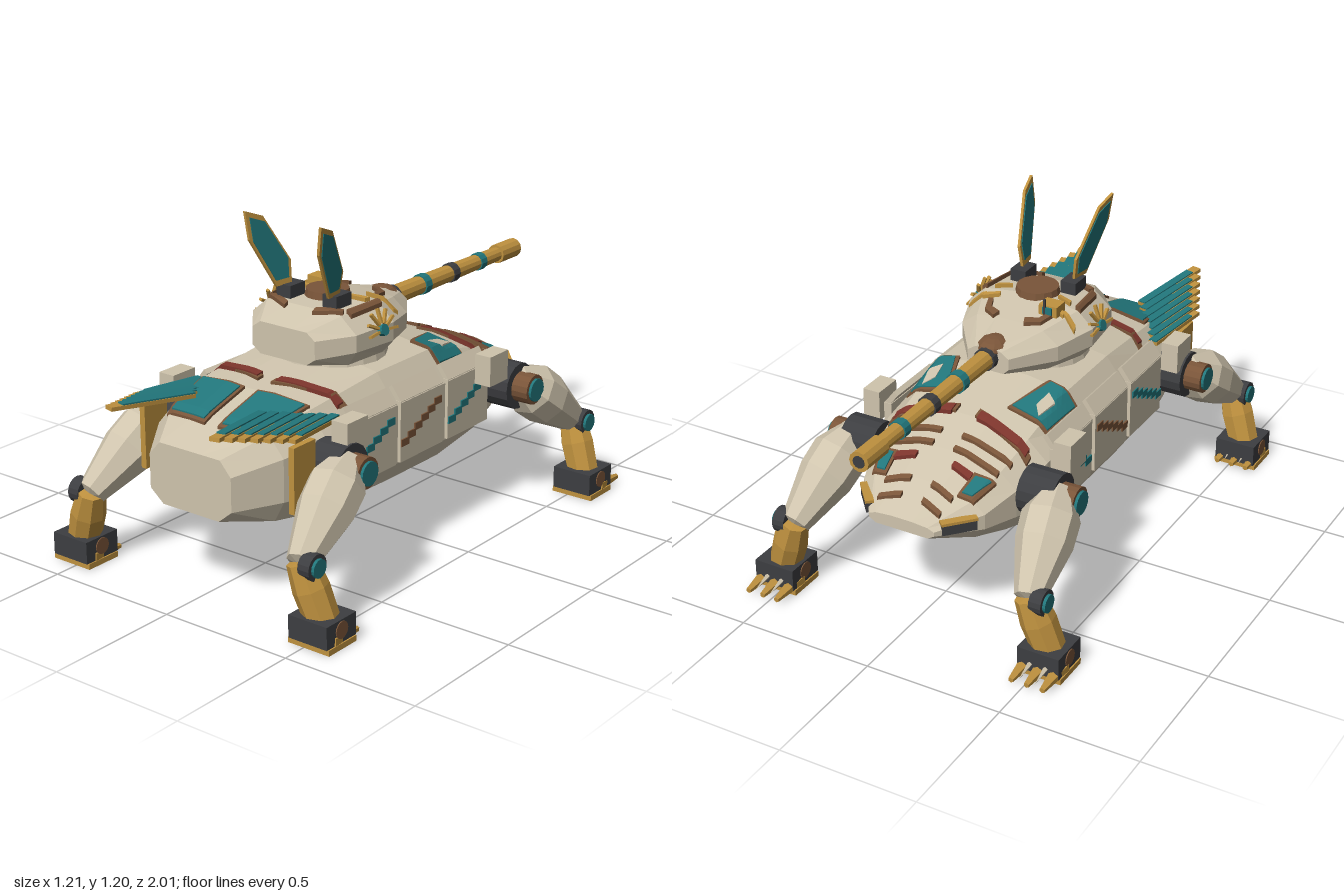
import * as THREE from 'three';

const paint = (name, color) => {
  const m = new THREE.MeshStandardMaterial({ color, side: THREE.DoubleSide, flatShading: true });
  m.name = name;
  return m;
};

export function createModel() {
  const root = new THREE.Group();
  root.name = 'walkerTank';
  const cream = paint('cream', 0xcfc4ad), gold = paint('gold', 0xc0923f), teal = paint('teal', 0x22777c);
  const brown = paint('brown', 0x7a5539), red = paint('red', 0x7d352c), charcoal = paint('charcoal', 0x3d3e41);

  const add = (name, geo, mat, pos = [0, 0, 0], rot = [0, 0, 0], parent = root) => {
    const m = new THREE.Mesh(geo, mat);
    m.name = name;
    m.position.set(...pos);
    m.rotation.set(...rot);
    parent.add(m);
    return m;
  };
  const box = (name, size, mat, pos, rot, parent) => add(name, new THREE.BoxGeometry(...size), mat, pos, rot, parent);
  // cylinder lying along x (axle) or z (barrel)
  const axle = (name, r, len, mat, pos) =>
    add(name, new THREE.CylinderGeometry(r, r, len, 16), mat, pos, [0, 0, Math.PI / 2]);
  const tubeZ = (name, r0, r1, z0, z1, mat, y) =>
    add(name, new THREE.CylinderGeometry(r0, r1, z0 - z1, 12), mat, [0, y, (z0 + z1) / 2], [Math.PI / 2, 0, 0]);
  // lathe profile [radius, t] stretched from point a to point b
  const limb = (name, a, b, profile, mat) => {
    const A = new THREE.Vector3(...a), d = new THREE.Vector3(...b).sub(A), L = d.length();
    const m = add(name, new THREE.LatheGeometry(profile.map(([r, t]) => new THREE.Vector2(r, t * L)), 8), mat, a);
    m.quaternion.setFromUnitVectors(new THREE.Vector3(0, 1, 0), d.normalize());
  };

  // section: [z, bottom half width, bottom y, half width, low y, high y, top half width, shoulder y, crown y]
  const ring = ([z, wb, y0, w, y1, y2, wt, yt, yc]) => {
    const half = [[wb, y0], [w, y1], [w, y2], [wt, yt], [wt * 0.4, yc]];
    return [...half, ...half.slice().reverse().map(([x, y]) => [-x, y])].map(([x, y]) => [x, y, z]);
  };
  const loft = (name, sections, mat) => {
    const rings = sections.map(ring), n = rings[0].length, idx = [];
    for (let s = 0; s < rings.length - 1; s++)
      for (let i = 0; i < n; i++) {
        const a = s * n + i, b = s * n + (i + 1) % n;
        idx.push(a, a + n, b, b, a + n, b + n);
      }
    const last = (rings.length - 1) * n;
    for (let i = 1; i < n - 1; i++) idx.push(0, i, i + 1, last, last + i + 1, last + i);
    const g = new THREE.BufferGeometry();
    g.setAttribute('position', new THREE.Float32BufferAttribute(rings.flat(2), 3));
    g.setIndex(idx);
    g.computeVertexNormals();
    add(name, g, mat);
  };
  // height of a lofted body above (x, z)
  const topY = (sections, x, z) => {
    let i = 0;
    while (i < sections.length - 2 && z < sections[i + 1][0]) i++;
    const a = sections[i], b = sections[i + 1], t = THREE.MathUtils.clamp((a[0] - z) / (a[0] - b[0]), 0, 1);
    const [, , , w, , y2, wt, yt, yc] = a.map((v, k) => v + (b[k] - v) * t);
    const ax = Math.min(Math.abs(x), w), wc = wt * 0.4;
    if (ax < wc) return yc;
    return ax < wt ? yc + (yt - yc) * (ax - wc) / (wt - wc) : yt + (y2 - yt) * (ax - wt) / (w - wt);
  };
  // thin plate following a body; corners are [x, z] in order around the plate
  const plate = (name, sections, c, mat, off) => {
    const n = 6, pos = [], idx = [], N = n + 3, mix = THREE.MathUtils.lerp;
    const flip = (c[1][0] - c[0][0]) * (c[3][1] - c[0][1]) - (c[1][1] - c[0][1]) * (c[3][0] - c[0][0]) < 0;
    for (let j = -1; j <= n + 1; j++)
      for (let i = -1; i <= n + 1; i++) {
        const u = THREE.MathUtils.clamp(i / n, 0, 1), v = THREE.MathUtils.clamp(j / n, 0, 1);
        const rim = i < 0 || j < 0 || i > n || j > n;
        const [x, z] = [0, 1].map(k => mix(mix(c[0][k], c[1][k], u), mix(c[3][k], c[2][k], u), v));
        pos.push(x, topY(sections, x, z) + (rim ? 0 : off), z);
      }
    for (let j = 0; j < N - 1; j++)
      for (let i = 0; i < N - 1; i++) {
        const a = j * N + i, [p, q] = flip ? [a + 1, a + N] : [a + N, a + 1];
        idx.push(a, p, q, q, p, a + N + 1);
      }
    const g = new THREE.BufferGeometry();
    g.setAttribute('position', new THREE.Float32BufferAttribute(pos, 3));
    g.setIndex(idx);
    g.computeVertexNormals();
    add(name, g, mat);
  };
  const framed = (name, sections, c, mat) => {
    const cx = c.reduce((s, p) => s + p[0], 0) / 4, cz = c.reduce((s, p) => s + p[1], 0) / 4;
    const outer = c.map(([x, z]) => [x + 0.012 * Math.sign(x - cx), z + 0.012 * Math.sign(z - cz)]);
    plate(name + 'Frame', sections, outer, brown, 0.01);
    plate(name, sections, c, mat, 0.015);
  };

  // hull and turret bodies
  const hull = [
    [0.87, 0.12, 0.315, 0.175, 0.36, 0.48, 0.13, 0.53, 0.53],
    [0.72, 0.23, 0.295, 0.27, 0.37, 0.52, 0.21, 0.59, 0.60],
    [0.55, 0.28, 0.285, 0.315, 0.36, 0.54, 0.24, 0.63, 0.65],
    [0.20, 0.29, 0.28, 0.33, 0.35, 0.56, 0.25, 0.665, 0.69],
    [-0.10, 0.29, 0.28, 0.33, 0.35, 0.56, 0.25, 0.665, 0.69],
    [-0.35, 0.27, 0.30, 0.315, 0.37, 0.53, 0.24, 0.60, 0.63],
    [-0.50, 0.24, 0.33, 0.28, 0.39, 0.49, 0.22, 0.545, 0.575],
    [-0.63, 0.20, 0.36, 0.235, 0.40, 0.455, 0.19, 0.495, 0.52],
    [-0.77, 0.10, 0.40, 0.125, 0.415, 0.43, 0.10, 0.44, 0.445]];
  const turret = [
    [0.39, 0.10, 0.71, 0.135, 0.735, 0.80, 0.10, 0.825, 0.825],
    [0.28, 0.19, 0.70, 0.225, 0.75, 0.81, 0.16, 0.865, 0.87],
    [0.10, 0.20, 0.70, 0.245, 0.75, 0.815, 0.185, 0.87, 0.885],
    [-0.05, 0.15, 0.705, 0.19, 0.745, 0.80, 0.13, 0.845, 0.855],
    [-0.20, 0.06, 0.73, 0.08, 0.75, 0.79, 0.05, 0.81, 0.82]];
  loft('hull', hull, cream);
  loft('turret', turret, cream);
  add('turretRing', new THREE.CylinderGeometry(0.19, 0.2, 0.05, 20), cream, [0, 0.685, 0.13]);

  // gun
  tubeZ('gunBarrel', 0.036, 0.027, -0.15, -0.9, gold, 0.78);
  tubeZ('muzzle', 0.036, 0.036, -0.88, -1, gold, 0.78);
  tubeZ('muzzleBore', 0.022, 0.022, -0.99, -1.002, charcoal, 0.78);
  [[-0.21, 0.041, charcoal], [-0.4, 0.038, teal], [-0.58, 0.036, charcoal], [-0.76, 0.033, teal]]
    .forEach(([z, r, m]) => tubeZ('barrelBand', r, r, z + 0.017, z - 0.017, m, 0.78));
  add('mantlet', new THREE.SphereGeometry(1, 12, 8), brown, [0, 0.805, -0.15]).scale.set(0.06, 0.035, 0.07);

  // turret roof
  add('roofHatch', new THREE.CylinderGeometry(0.075, 0.08, 0.025, 16), brown, [0, 0.893, 0.15]);
  box('sight', [0.07, 0.04, 0.06], gold, [-0.11, 0.885, 0.05]);
  box('sightLens', [0.035, 0.025, 0.01], teal, [-0.11, 0.887, 0.018]);
  box('antenna', [0.008, 0.06, 0.008], charcoal, [-0.1, 0.9, 0.015]);

  const earOutline = [[0.397, 1.2], [0.32, 1.17], [0.215, 1.0], [0.22, 0.92], [0.29, 0.92], [0.39, 1.1]];
  const earGeo = (k, depth) => {
    const pts = earOutline.map(([z, y]) => new THREE.Vector2((z - 0.3) * k + 0.05, 1.05 + (y - 1.05) * k - 0.92));
    return new THREE.ExtrudeGeometry(new THREE.Shape(pts), { depth, bevelEnabled: false })
      .translate(0, 0, -depth / 2).rotateY(-Math.PI / 2);
  };

  for (const s of [1, -1]) {
    const X = pts => pts.map(([x, z]) => [s * x, z]);
    // ears
    const earPose = [[s * 0.107, 0.92, 0.25], [0, s * 0.13, -s * 0.13]];
    add('earFrame', earGeo(1, 0.01), gold, ...earPose);
    add('earPanel', earGeo(0.84, 0.016), teal, ...earPose);
    box('earMount', [0.06, 0.045, 0.08], charcoal, [s * 0.1, 0.9, 0.225]);

    // turret markings
    plate('turretBar', turret, X([[0.06, -0.06], [0.11, -0.03], [0.11, -0.005], [0.05, -0.035]]), brown, 0.014);
    plate('turretBar', turret, X([[0.11, -0.03], [0.13, 0.03], [0.11, 0.03], [0.095, -0.01]]), brown, 0.014);
    plate('turretBar', turret, X([[0.175, 0.1], [0.195, 0.1], [0.18, 0.25], [0.16, 0.25]]), brown, 0.016);
    plate('turretRearBar', turret, X([[0.06, 0.29], [0.15, 0.25], [0.16, 0.27], [0.06, 0.31]]), brown, 0.014);
    for (const [x, z] of [[0.13, 0.05], [0.12, 0.12], [0.18, 0.04]])
      plate('turretTick', turret, X([[x - 0.03, z + 0.01], [x + 0.03, z - 0.012], [x + 0.025, z + 0.008], [x - 0.025, z + 0.022]]), gold, 0.014);

    // sunburst on the turret side
    const sun = new THREE.Group();
    sun.name = 'sunburst';
    sun.position.set(s * 0.246, 0.803, 0.16);
    sun.rotation.z = s * 0.35;
    root.add(sun);
    add('sunDisc', new THREE.CylinderGeometry(0.02, 0.02, 0.02, 12), teal, [0, 0, 0], [0, 0, Math.PI / 2], sun);
    for (let i = 0; i < 7; i++) {
      const a = -0.1 + i * (Math.PI + 0.2) / 6;
      box('sunRay', [0.012, 0.009, 0.052], gold, [0, Math.sin(a) * 0.05, Math.cos(a) * 0.05], [-a, 0, 0], sun);
    }

    // hull deck panels
    framed('rearPanel', hull, X([[0.04, 0.57], [0.22, 0.55], [0.19, 0.74], [0.04, 0.75]]), teal);
    framed('rearStripe', hull, X([[0.04, 0.45], [0.27, 0.41], [0.27, 0.44], [0.04, 0.48]]), red);
    framed('frontStripe', hull, X([[0.05, -0.365], [0.26, -0.405], [0.26, -0.375], [0.05, -0.33]]), red);
    framed('frontPanel', hull, X([[0.13, -0.26], [0.27, -0.27], [0.29, -0.11], [0.19, -0.1]]), teal);
    plate('frontPanelPatch', hull, X([[0.2, -0.22], [0.23, -0.26], [0.25, -0.18], [0.21, -0.15]]), cream, 0.018);
    framed('eye', hull, X([[0.15, -0.63], [0.185, -0.625], [0.215, -0.55], [0.16, -0.56]]), teal);
    plate('eyeStripe', hull, X([[0.07, -0.565], [0.148, -0.58], [0.148, -0.555], [0.07, -0.545]]), red, 0.014);
    for (const [x0, x1, z] of [[0.04, 0.22, -0.495], [0.04, 0.24, -0.44], [0.04, 0.13, -0.64], [0.04, 0.12, -0.7]])
      plate('brow', hull, X([[x0, z - 0.008], [x1, z - 0.028], [x1, z - 0.012], [x0, z + 0.008]]), brown, 0.013);
    box('noseLamp', [0.12, 0.035, 0.025], charcoal, [s * 0.178, 0.432, -0.7], [0, -s * 0.85, 0]);
    box('noseLampTrim', [0.125, 0.01, 0.03], gold, [s * 0.178, 0.455, -0.7], [0, -s * 0.85, 0]);

    // side armour with stepped stripes
    [[0.335, teal, 6], [0.065, brown, 6], [-0.21, teal, 5]].forEach(([z, m, steps]) => {
      box('sidePanel', [0.03, 0.22, 0.245], cream, [s * 0.327, 0.465, z]);
      box('sidePanelTop', [0.02, 0.07, 0.24], cream, [s * 0.315, 0.592, z], [0, 0, s * 0.65]);
      for (let i = 0; i < steps; i++)
        box('stepStripe', [0.008, 0.026, 0.042], m, [s * 0.343, 0.425 + i * 0.019, z + 0.1 - i * 0.038]);
    });

    // wings
    for (let i = 0; i < 7; i++) {
      const a = new THREE.Vector3(s * (0.15 + 0.024 * i), 0.635 - 0.006 * i, 0.68 - 0.033 * i);
      const b = new THREE.Vector3(s * (0.225 + 0.018 * i), 0.665 - 0.009 * i, 1 - 0.04 * i);
      const L = a.distanceTo(b), f = new THREE.Group();
      f.name = 'feather';
      f.position.copy(a);
      f.lookAt(b);
      root.add(f);
      box('featherRim', [0.036, 0.014, L], gold, [0, 0, L / 2], [0, 0, 0], f);
      box('featherVane', [0.031, 0.02, L - 0.045], teal, [0, 0.002, L / 2 - 0.022], [0, 0, 0], f);
    }
    box('wingBracket', [0.022, 0.23, 0.11], gold, [s * 0.322, 0.465, 0.69]);

    // legs: [hip z, knee z, foot z, toe reach]
    for (const [hz, kz, fz, reach] of [[0.55, 0.865, 0.84, 0.105], [-0.43, -0.73, -0.71, 0.15]]) {
      axle('hipJoint', 0.085, 0.13, charcoal, [s * 0.35, 0.47, hz]);
      axle('hipCap', 0.055, 0.07, brown, [s * 0.445, 0.47, hz]);
      axle('hipHub', 0.042, 0.02, teal, [s * 0.48, 0.47, hz]);
      box('hipGuard', [0.065, 0.11, 0.11], cream, [s * 0.375, 0.57, hz + (hz < 0 ? 0.125 : -0.04)]);
      limb('thigh', [s * 0.4, 0.495, hz], [s * 0.458, 0.265, kz],
        [[0, -0.02], [0.05, -0.02], [0.1, 0.25], [0.098, 0.5], [0.052, 1], [0, 1.03]], cream);
      axle('kneeJoint', 0.046, 0.045, charcoal, [s * 0.5, 0.265, kz]);
      axle('kneeHub', 0.032, 0.012, teal, [s * 0.527, 0.265, kz]);
      limb('shin', [s * 0.455, 0.275, kz], [s * 0.525, 0.07, fz],
        [[0, 0], [0.05, 0.02], [0.062, 0.45], [0.058, 1], [0, 1]], gold);
      // foot with toes
      box('foot', [0.155, 0.08, 0.15], charcoal, [s * 0.52, 0.06, fz]);
      box('sole', [0.165, 0.02, 0.14], gold, [s * 0.52, 0.01, fz]);
      axle('ankleCap', 0.03, 0.162, brown, [s * 0.52, 0.065, fz]);
      for (let i = 0; i < 3; i++)
        add('toe', new THREE.CylinderGeometry(0.01, 0.028, 0.14, 6), gold,
          [s * (0.462 + 0.058 * i), 0.027, fz - reach + 0.07], [-Math.PI / 2 - 0.08, 0, 0]);
      for (const x of [0.491, 0.549])
        add('claw', new THREE.ConeGeometry(0.014, 0.12, 5), cream, [s * x, 0.045, fz - reach + 0.06], [-Math.PI / 2 - 0.2, 0, 0]);
    }
  }
  return root;
}
